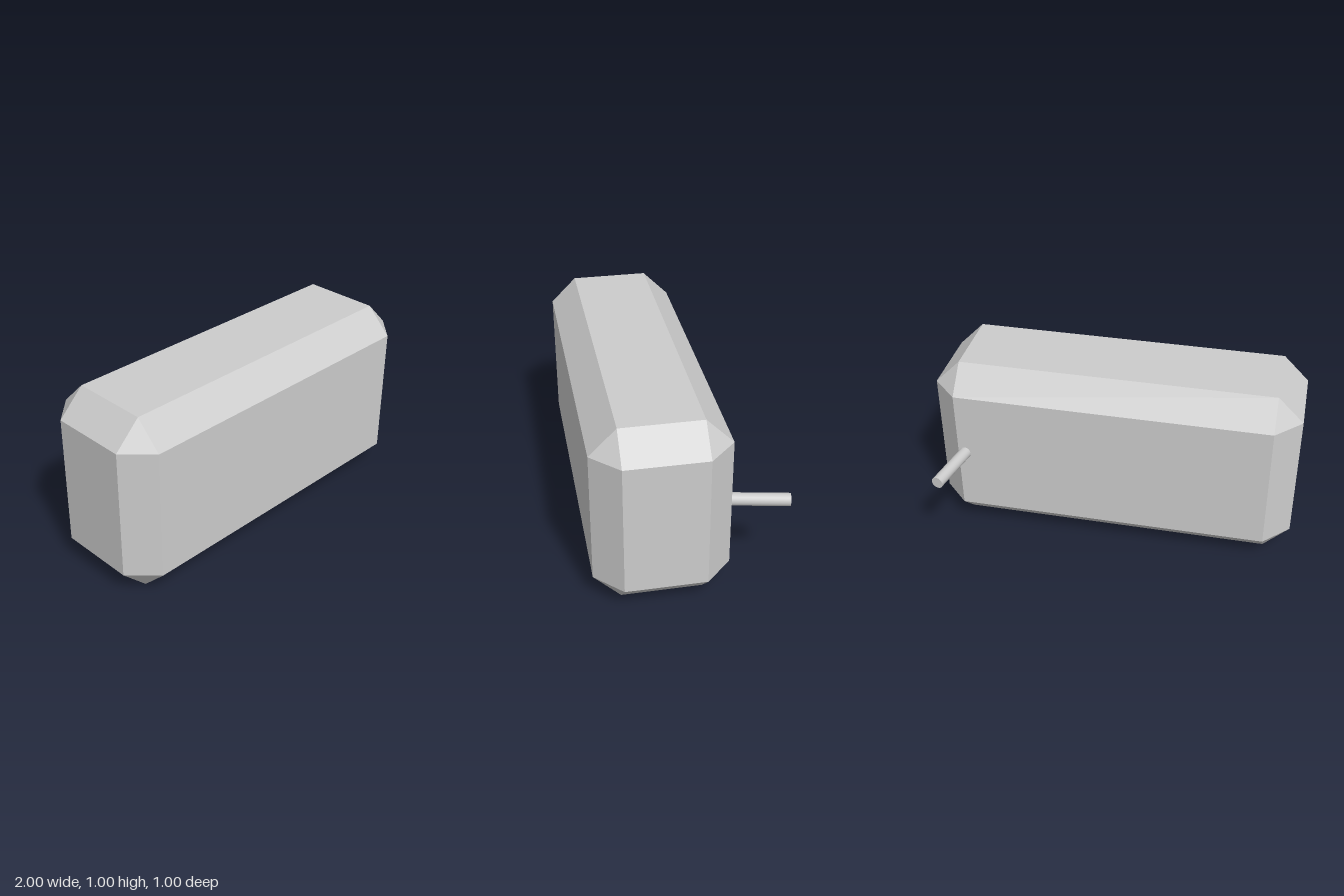
import * as THREE from 'three';
import { ConvexGeometry } from 'three/addons/geometries/ConvexGeometry.js';

// Box with every edge cut at 45 degrees, centred on the origin
function chamferedBox(w, h, d, c) {
  const points = [];
  for (const sx of [-1, 1]) for (const sy of [-1, 1]) for (const sz of [-1, 1]) {
    for (let axis = 0; axis < 3; axis++) {
      const [x, y, z] = [w, h, d].map((s, i) => s / 2 - (i === axis ? 0 : c));
      points.push(new THREE.Vector3(sx * x, sy * y, sz * z));
    }
  }
  return new ConvexGeometry(points);
}

export function createModel() {
  const model = new THREE.Group();
  const grey = new THREE.MeshStandardMaterial({ color: 0xcccccc });
  grey.name = 'light grey';

  // Faceted block
  const block = new THREE.Mesh(chamferedBox(2, 1, 0.7, 0.14), grey);
  block.name = 'block';
  block.position.set(0, 0.5, 0.15);
  model.add(block);

  // Slanted rod leaving the back face
  const start = new THREE.Vector3(0.82, 0.5, -0.2);
  const end = new THREE.Vector3(0.88, 0.5, -0.494);
  const axis = end.clone().sub(start);
  const rod = new THREE.Mesh(new THREE.CylinderGeometry(0.033, 0.033, axis.length(), 24), grey);
  rod.name = 'rod';
  rod.position.copy(start).add(end).multiplyScalar(0.5);
  rod.quaternion.setFromUnitVectors(new THREE.Vector3(0, 1, 0), axis.normalize());
  model.add(rod);

  return model;
}
